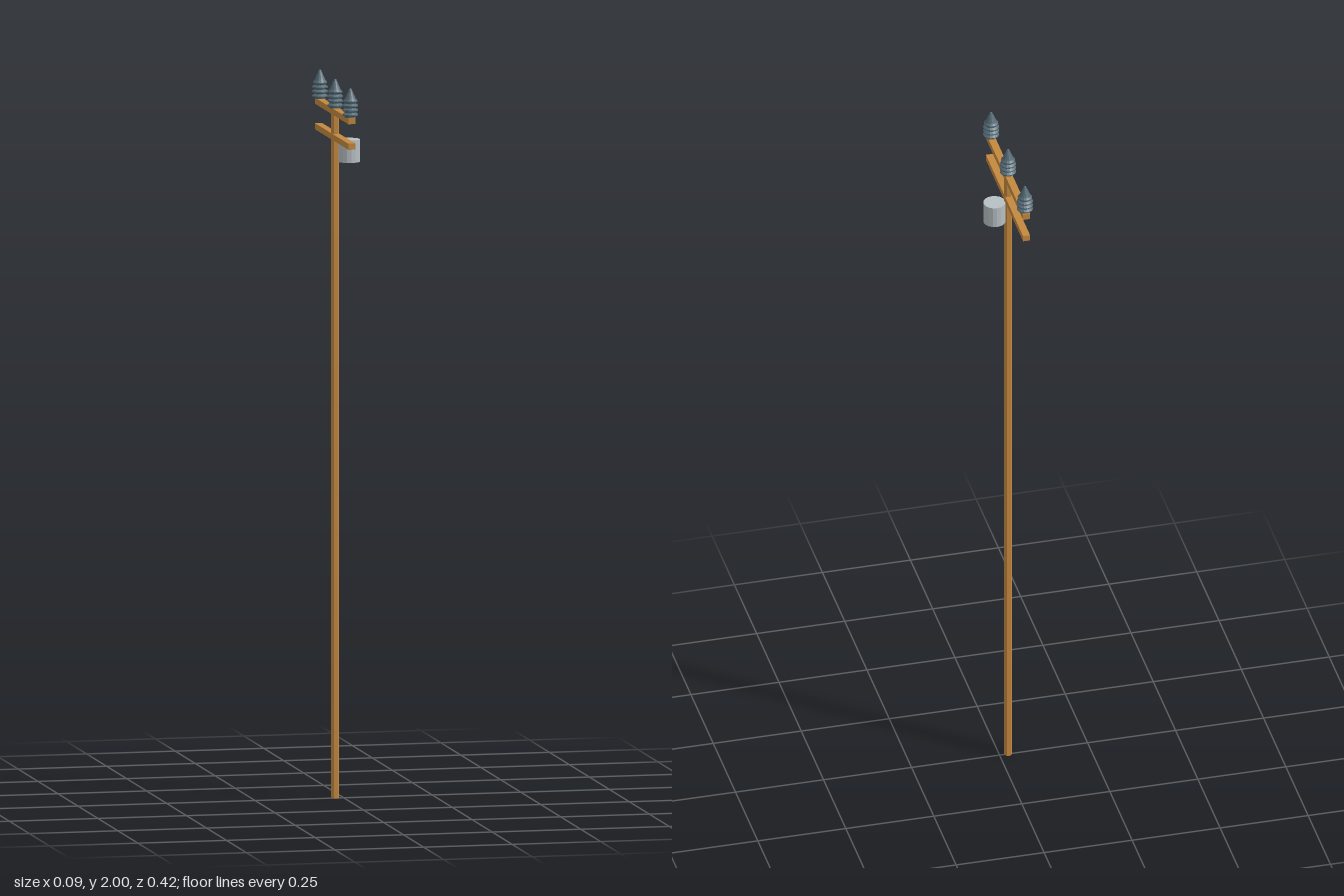
import * as THREE from 'three';

const material = (color) => new THREE.MeshStandardMaterial({ color, flatShading: true });

export function createModel() {
  const model = new THREE.Group();
  const wood = material(0xc4893f);
  const ceramic = material(0x546a75);
  const metal = material(0xb6bfc2);
  const axisX = -0.024;

  const add = (name, geometry, mat, x, y, z) => {
    const mesh = new THREE.Mesh(geometry, mat);
    mesh.name = name;
    mesh.position.set(x, y, z);
    model.add(mesh);
    return mesh;
  };

  // Hexagonal pole with its corners along x
  const pole = add('pole', new THREE.CylinderGeometry(0.0115, 0.0115, 1.912, 6), wood, axisX, 0.956, 0);
  pole.rotation.y = Math.PI / 2;

  // Two crossarms
  const armGeometry = new THREE.BoxGeometry(0.02, 0.017, 0.418);
  add('upperCrossarm', armGeometry, wood, axisX, 1.911, 0);
  add('lowerCrossarm', armGeometry, wood, axisX, 1.84, 0);

  // Ribbed insulator profile: stacked flared skirts under a pointed cap
  const profile = [new THREE.Vector2(0, 1.919), new THREE.Vector2(0.016, 1.919)];
  const skirts = 4, pitch = 0.0125;
  for (let i = 0; i < skirts; i++) {
    const y = 1.922 + i * pitch;
    const rim = i === skirts - 1 ? 0.02 : 0.022;
    profile.push(
      new THREE.Vector2(0.016, y),
      new THREE.Vector2(rim, y + 0.003),
      new THREE.Vector2(rim, y + 0.006),
      new THREE.Vector2(0.016, y + 0.0105)
    );
  }
  profile.push(new THREE.Vector2(0.0145, 1.973), new THREE.Vector2(0.003, 1.999), new THREE.Vector2(0, 2));
  const insulatorGeometry = new THREE.LatheGeometry(profile, 16);
  ['backInsulator', 'middleInsulator', 'frontInsulator'].forEach((name, i) =>
    add(name, insulatorGeometry, ceramic, axisX, 0, (i - 1) * 0.19));

  // Transformer can on the side of the pole
  add('transformer', new THREE.CylinderGeometry(0.031, 0.031, 0.062, 16), metal, 0.0145, 1.8, 0);

  return model;
}
